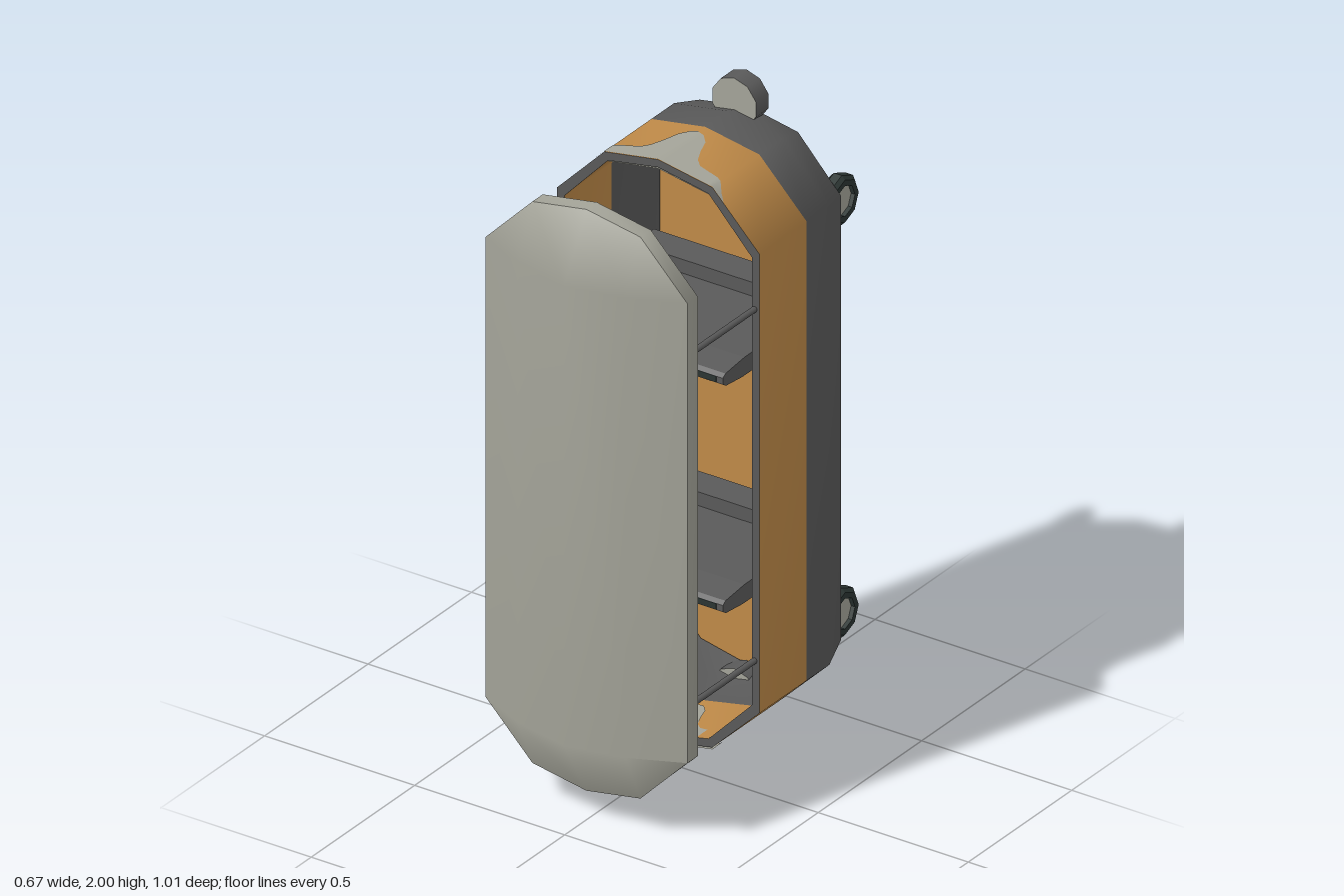
import * as THREE from 'three';
import { mergeVertices } from 'three/addons/utils/BufferGeometryUtils.js';

const mat = (name, color, side = THREE.FrontSide) => {
  const m = new THREE.MeshStandardMaterial({ color, side });
  m.name = name;
  return m;
};

// Ten-sided pod outline, counterclockwise from the front
const W = 0.337, CY = 1.003, H = 0.908;
const OUTLINE = [[W, 0.285], [W, 1.72], [0.18, 1.88], [0, 1.911], [-0.18, 1.88],
  [-W, 1.72], [-W, 0.285], [-0.18, 0.13], [0, 0.095], [0.18, 0.13]];

// Outline at depth z, drawn in by an inset
const ring = (z, inset = 0) => OUTLINE.map(([x, y]) =>
  [x * (1 - inset / W), CY + (y - CY) * (1 - inset / H), z]);

// Skin over rows of points, closed into loops or left as a sheet
function loft(rows, closed = true) {
  const n = rows[0].length, index = [];
  for (let r = 0; r < rows.length - 1; r++) {
    for (let i = 0; i < (closed ? n : n - 1); i++) {
      const j = (i + 1) % n, a = r * n, b = a + n;
      index.push(a + i, b + i, b + j, a + i, b + j, a + j);
    }
  }
  let g = new THREE.BufferGeometry();
  g.setAttribute('position', new THREE.Float32BufferAttribute(rows.flat(2), 3));
  g.setIndex(index);
  g = mergeVertices(g);
  g.computeVertexNormals();
  return g;
}

// Height of the outline's upper or lower edge at x
function edgeY(x, sign) {
  const a = Math.abs(x);
  const top = a < 0.18 ? 1.911 - a / 0.18 * 0.031 : 1.88 - (a - 0.18) / (W - 0.18) * 0.16;
  return sign > 0 ? top : 2 * CY - top;
}

export function createModel() {
  const group = new THREE.Group();
  const orange = mat('orange paint', 0xbf8a48);
  const orangeSheet = mat('orange back', 0xbf8a48, THREE.DoubleSide);
  orangeSheet.name = 'orange paint sheet';
  const dark = mat('dark grey', 0x5a5a5a);
  const pale = mat('pale grey', 0xa4a499);
  const paleSheet = mat('pale grey sheet', 0xa4a499, THREE.DoubleSide);
  const black = mat('rubber black', 0x2b3533);
  const add = (name, geo, m, x = 0, y = 0, z = 0, parent = group) => {
    const mesh = new THREE.Mesh(geo, m);
    mesh.name = name;
    mesh.position.set(x, y, z);
    parent.add(mesh);
    return mesh;
  };

  // Hollow body: coloured bands outside and inside, dark front rim
  const T = 0.024;
  add('frontBand', loft([ring(0.048), ring(-0.18)]), orange);
  add('rearBand', loft([ring(-0.18), ring(-0.29), ring(-0.39, 0.03)]), dark);
  add('frontBandInside', loft([ring(-0.18, T), ring(0.048, T)]), orange);
  add('rearBandInside', loft([ring(-0.385, 0.045), ring(-0.29, T), ring(-0.18, T)]), dark);
  add('openingRim', loft([ring(0.048, T), ring(0.048)]), dark);
  const backShape = new THREE.Shape(ring(0, 0.03).map(([x, y]) => new THREE.Vector2(x, y)));
  add('backPanel', new THREE.ShapeGeometry(backShape), orangeSheet, 0, 0, -0.39);

  // Grey paint splashes at both ends, outside and inside
  const half = [[0, -0.145], [0.022, -0.14], [0.045, -0.115], [0.06, -0.07], [0.078, -0.03],
    [0.1, -0.01], [0.165, 0], [0.18, 0.008], [0.2, 0.032], [0.218, 0.048]];
  const splash = [...half.slice(1).reverse().map(([x, z]) => [-x, z]), ...half];
  for (const sign of [1, -1]) {
    for (const off of [0.002, -T - 0.004]) {
      const row = front => splash.map(([x, z]) => [x, edgeY(x, sign) + sign * off, front ? 0.048 : z]);
      add('endSplash', loft(sign > 0 ? [row(true), row(false)] : [row(false), row(true)], false), paleSheet);
    }
  }

  // Front cover: rim, side wall, domed face and hollow inside
  const cover = new THREE.Group();
  cover.name = 'frontCover';
  group.add(cover);
  const crest = [[-W, 0.395], [-0.18, 0.466], [0, 0.504], [0.18, 0.466], [W, 0.395]];
  const dome = (inset, depth) => {
    const sx = 1 - inset / W, sy = 1 - inset / H;
    const row = (yAt, zAt) => crest.map(([x, z]) => [x * sx, CY + (yAt(x) - CY) * sy, zAt(z) - depth]);
    return [row(x => edgeY(x, 1), () => 0.395), row(() => 1.72, z => z),
      row(() => 0.285, z => z), row(x => edgeY(x, -1), () => 0.395)];
  };
  add('coverFace', loft(dome(0, 0), false), pale, 0, 0, 0, cover);
  add('coverInside', loft(dome(0.016, 0.016).reverse(), false), pale, 0, 0, 0, cover);
  add('coverSide', loft([ring(0.395), ring(0.345)]), pale, 0, 0, 0, cover);
  add('coverRim', loft([ring(0.345), ring(0.345, 0.016)]), pale, 0, 0, 0, cover);
  add('coverInnerSide', loft([ring(0.345, 0.016), ring(0.379, 0.016)]), pale, 0, 0, 0, cover);

  // Slide rods between body and cover
  const rodGeo = new THREE.CylinderGeometry(0.009, 0.009, 0.36, 8).rotateX(Math.PI / 2);
  for (const x of [-0.321, 0.321]) {
    for (const y of [0.445, 1.543]) add('slideRod', rodGeo, dark, x, y, 0.187);
  }

  // Shelves with a tapered front lip, a raised back and dark edge strips
  const profile = new THREE.Shape([[-0.38, -0.03], [0.06, -0.03], [0.14, -0.022], [0.155, -0.012],
    [0.155, 0.008], [0.142, 0.017], [0.05, 0.027], [-0.38, 0.027]].map(p => new THREE.Vector2(...p)));
  const shelfGeo = new THREE.ExtrudeGeometry(profile, { depth: 0.578, bevelEnabled: false })
    .rotateY(-Math.PI / 2).translate(0.289, 0, 0);
  for (const y of [0.647, 1.357]) {
    add('shelf', shelfGeo, dark, 0, y, 0);
    add('shelfBack', new THREE.BoxGeometry(0.578, 0.05, 0.1), dark, 0, y + 0.045, -0.3);
    add('shelfStrip', new THREE.BoxGeometry(0.18, 0.018, 0.006), black, -0.12, y - 0.001, 0.153);
    add('shelfStrip', new THREE.BoxGeometry(0.125, 0.018, 0.006), black, 0.205, y - 0.001, 0.153);
  }

  // Lugs at top and bottom with pale faces
  const lugGeo = new THREE.CylinderGeometry(0.076, 0.076, 0.06, 10).rotateX(Math.PI / 2);
  for (const y of [1.925, 0.08]) add('endLug', lugGeo, [dark, pale, pale], 0, y, -0.349);

  // Rear wheels: bevelled eight-sided tyre around a recessed hub
  const tyreBase = new THREE.LatheGeometry([[0.048, -0.024], [0.066, -0.024], [0.077, -0.013],
    [0.077, 0.013], [0.066, 0.024], [0.048, 0.024], [0.048, -0.024]]
    .map(p => new THREE.Vector2(...p)), 8).rotateZ(Math.PI / 2).toNonIndexed();
  tyreBase.computeVertexNormals();
  const hubGeo = new THREE.CylinderGeometry(0.049, 0.049, 0.022, 8).rotateZ(Math.PI / 2);
  for (const x of [-0.269, 0.269]) {
    for (const y of [0.368, 1.657]) {
      const wheel = new THREE.Group();
      wheel.name = 'rearWheel';
      wheel.position.set(x, y, -0.43);
      group.add(wheel);
      add('tyre', tyreBase, black, 0, 0, 0, wheel);
      add('hub', hubGeo, pale, 0, 0, 0, wheel);
    }
  }
  return group;
}
